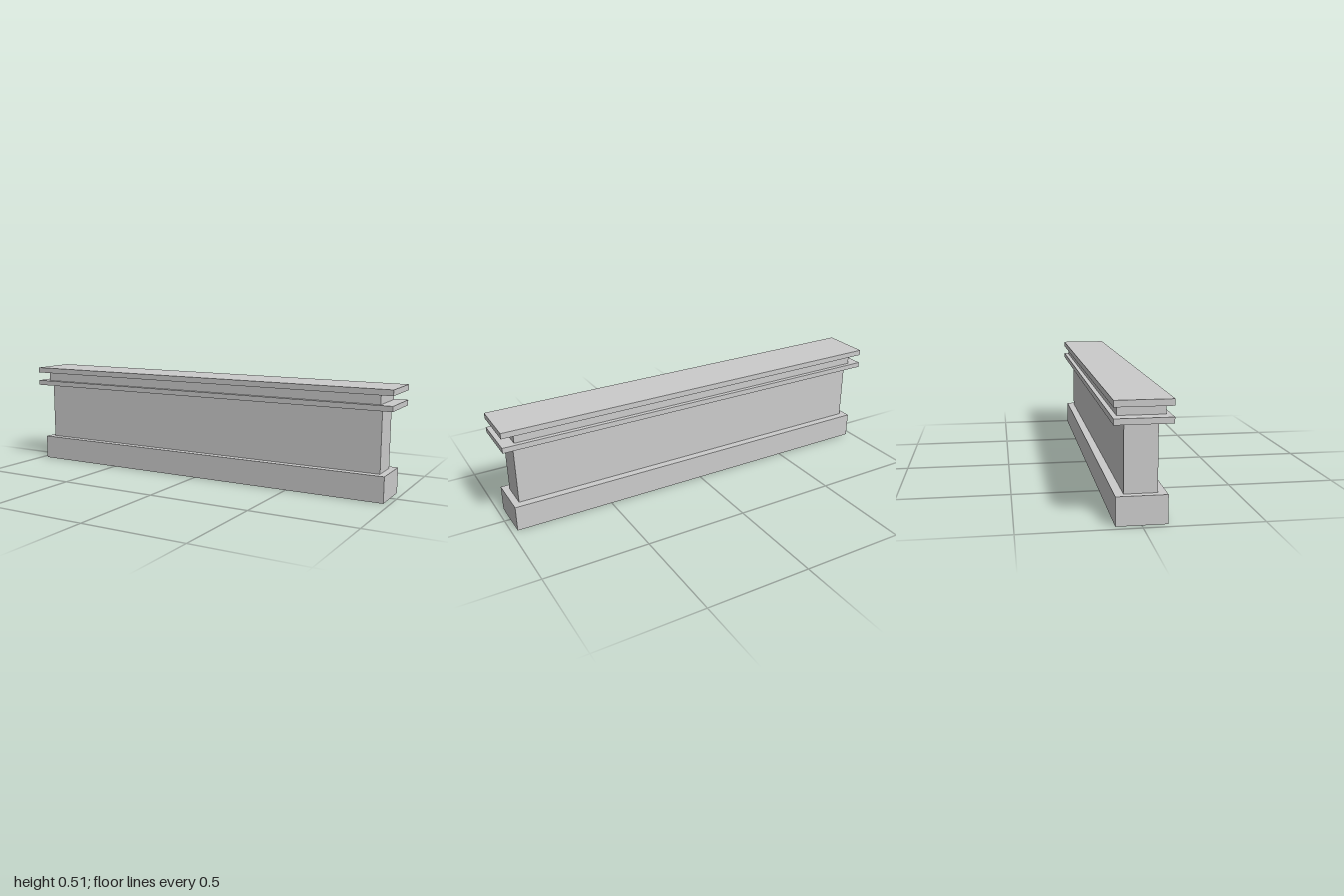
import * as THREE from 'three';

// Stacked slabs, bottom to top: name, length, depth, bottom y, top y
const SLABS = [
  ['base', 1.942, 0.212, 0, 0.122],
  ['wall', 1.88, 0.138, 0.122, 0.413],
  ['lowerLedge', 2, 0.238, 0.413, 0.438],
  ['neck', 1.88, 0.196, 0.438, 0.482],
  ['topLedge', 2, 0.238, 0.482, 0.509],
];

export function createModel() {
  const group = new THREE.Group();
  group.name = 'lowWall';
  const material = new THREE.MeshStandardMaterial({ color: 0xcccccc });

  for (const [name, length, depth, bottom, top] of SLABS) {
    const slab = new THREE.Mesh(new THREE.BoxGeometry(length, top - bottom, depth), material);
    slab.name = name;
    slab.position.y = (bottom + top) / 2;
    group.add(slab);
  }
  return group;
}
